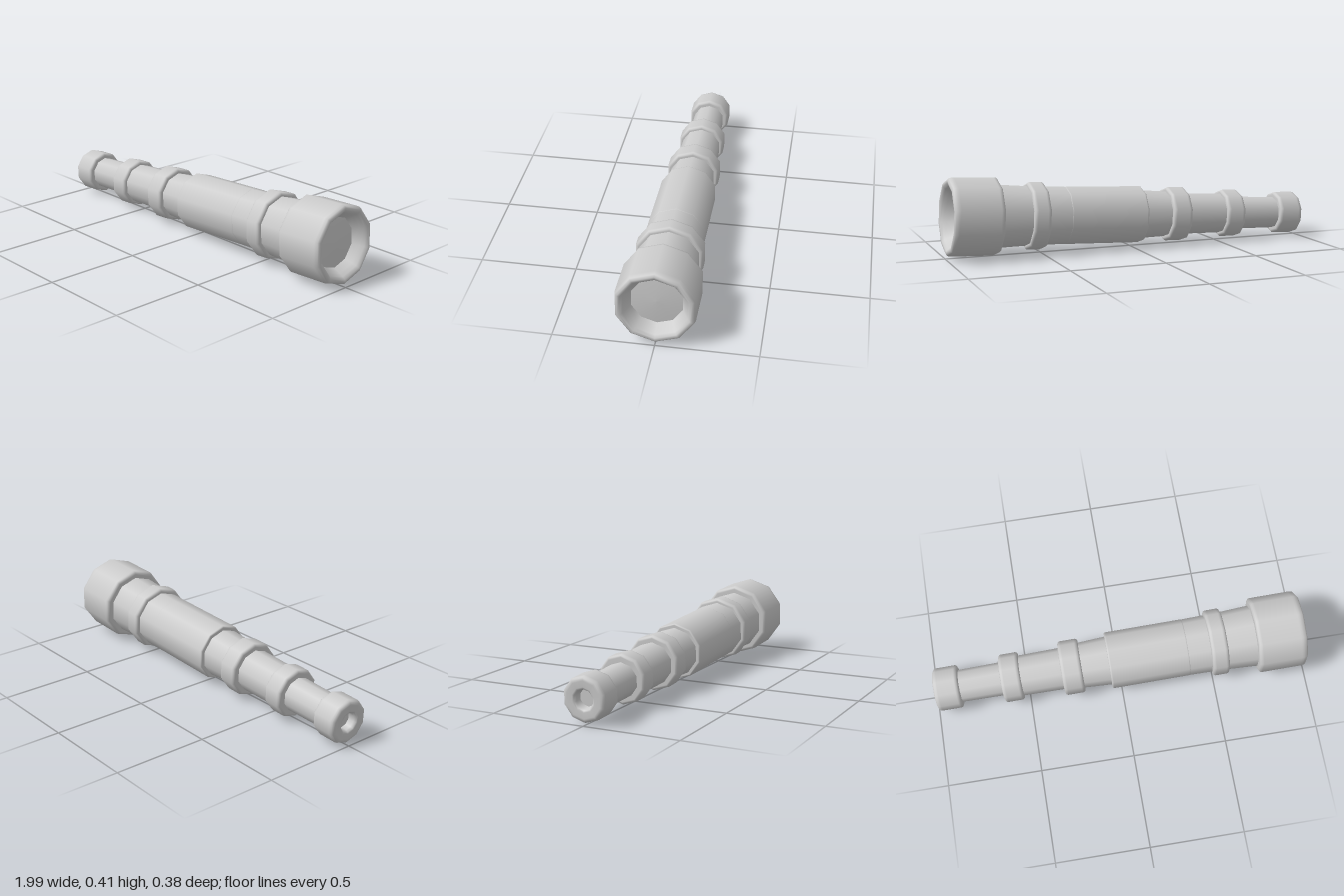
import * as THREE from 'three';

const SIDES = 10;

export function createModel() {
  const model = new THREE.Group();
  model.name = 'spyglass';
  const grey = new THREE.MeshStandardMaterial({ color: 0xcccccc });
  grey.name = 'light grey';

  // Ten-sided turned part along x, from [position, radius] pairs
  function turned(name, profile) {
    const points = profile.map(([s, r]) => new THREE.Vector2(r, s));
    const geometry = new THREE.LatheGeometry(points, SIDES, Math.PI / 2);
    geometry.rotateZ(-Math.PI / 2);
    const mesh = new THREE.Mesh(geometry, grey);
    mesh.name = name;
    model.add(mesh);
  }

  // Quarter-round edge, with an extra point on the flat side to keep it smooth
  function roundedEnd(s, r, bevel, dir) {
    const edge = [];
    for (let i = 0; i <= 3; i++) {
      const a = (i / 3) * Math.PI / 2;
      edge.push([s + dir * bevel * (1 - Math.sin(a)), r - bevel * (1 - Math.cos(a))]);
    }
    edge.unshift([s + dir * bevel * 1.3, r]);
    return dir > 0 ? edge.reverse() : edge;
  }

  // Raised collar between two positions, closed down to an inner radius
  function collar(name, s0, s1, r, inner, bevel = 0.015) {
    turned(name, [
      [s0, inner], ...roundedEnd(s0, r, bevel, 1),
      ...roundedEnd(s1, r, bevel, -1), [s1, inner],
    ]);
  }

  // Telescoping draw tubes, slightly tapered
  turned('rearTube', [[-0.88, 0.086], [-0.6, 0.09]]);
  turned('middleTube', [[-0.56, 0.108], [-0.28, 0.112]]);
  turned('frontTube', [[-0.24, 0.12], [-0.04, 0.131]]);
  turned('barrelNeck', [[0.36, 0.151], [0.52, 0.154]]);
  turned('bellNeck', [[0.54, 0.154], [0.75, 0.165]]);

  // Main barrel and joint rings
  collar('mainBarrel', -0.058, 0.37, 0.152, 0.12, 0.008);
  collar('rearRing', -0.637, -0.53, 0.129, 0.08);
  collar('middleRing', -0.313, -0.203, 0.146, 0.1);
  collar('frontRing', 0.484, 0.575, 0.177, 0.14);

  // Eyepiece with a small sight hole
  turned('eyepiece', [
    [-0.95, 0.044], [-0.98, 0.047], [-0.992, 0.053], [-0.995, 0.062],
    [-0.995, 0.092], ...roundedEnd(-0.995, 0.115, 0.018, 1),
    ...roundedEnd(-0.86, 0.115, 0.015, -1), [-0.86, 0.08],
  ]);
  turned('eyeLens', [[-0.95, 0], [-0.95, 0.046]]);

  // Objective bell with a rolled lip leading in to the lens
  turned('objectiveBell', [
    [0.729, 0.15], ...roundedEnd(0.729, 0.202, 0.018, 1),
    [0.955, 0.202], [0.965, 0.202], [0.981, 0.198], [0.989, 0.187],
    [0.987, 0.174], [0.975, 0.162], [0.955, 0.15], [0.92, 0.13],
  ]);
  turned('objectiveLens', [[0.92, 0.131], [0.926, 0.065], [0.928, 0]]);

  // Lay the spyglass at its resting angle
  model.rotation.z = 0.045;
  model.position.y = 0.172;
  const root = new THREE.Group();
  root.name = 'spyglassRoot';
  root.add(model);
  return root;
}
